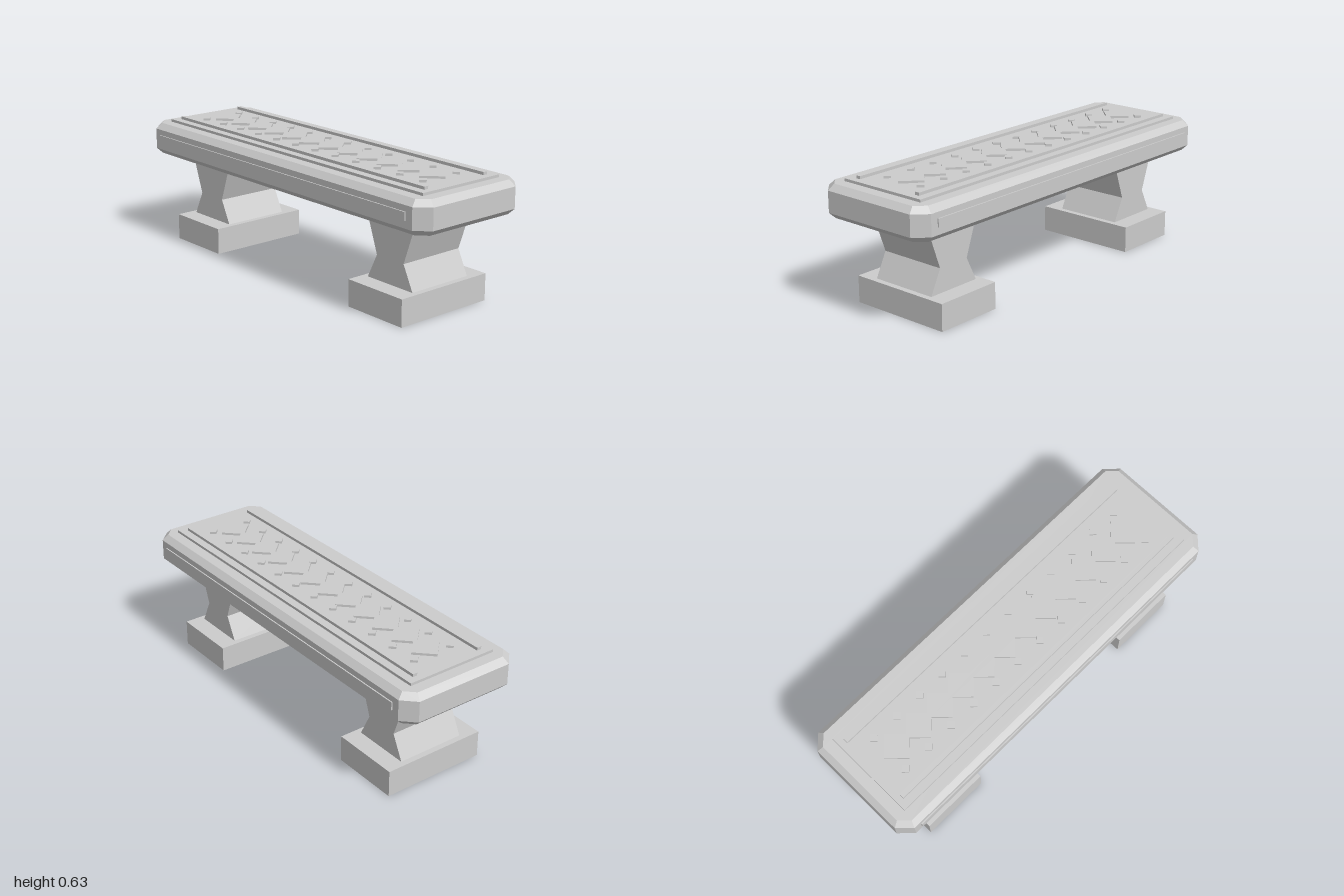
import * as THREE from 'three';

export function createModel() {
  const bench = new THREE.Group();
  bench.name = 'bench';
  const stone = new THREE.MeshStandardMaterial({ color: 0xcccccc });
  stone.name = 'grey stone';

  const add = (name, geometry) => {
    const mesh = new THREE.Mesh(geometry, stone);
    mesh.name = name;
    bench.add(mesh);
    return mesh;
  };
  // Box given by its limits on each axis
  const box = (name, x0, x1, y0, y1, z0, z1) =>
    add(name, new THREE.BoxGeometry(x1 - x0, y1 - y0, z1 - z0))
      .position.set((x0 + x1) / 2, (y0 + y1) / 2, (z0 + z1) / 2);
  const shape = (points) => new THREE.Shape(points.map(([x, y]) => new THREE.Vector2(x, y)));
  // Flat outline in x and z, raised from y0 to y1
  const slab = (name, points, y0, y1, bevel = 0) => {
    const geometry = new THREE.ExtrudeGeometry(shape(points), {
      depth: y1 - y0 - 2 * bevel, bevelEnabled: bevel > 0, bevelThickness: bevel,
      bevelSize: bevel, bevelOffset: -bevel, bevelSegments: 1,
    });
    geometry.rotateX(-Math.PI / 2).translate(0, y0 + bevel, 0);
    return add(name, geometry);
  };

  // Seat with cut corners and chamfered edges
  const X = 1, Z = 0.313, C = 0.062;
  slab('seat', [
    [X, -Z + C], [X, Z - C], [X - C, Z], [-X + C, Z],
    [-X, Z - C], [-X, -Z + C], [-X + C, -Z], [X - C, -Z],
  ], 0.445, 0.603, 0.028);
  box('seatPanel', -0.918, 0.918, 0.6, 0.616, -0.232, 0.232);

  // Chain of overlapping diamonds along the middle
  const count = 12, end = 0.74, half = 0.08, pitch = (2 * end) / (count - 1);
  const upper = [];
  for (let i = 0; i < count; i++) {
    const x = -end + i * pitch;
    upper.push([x, half]);
    if (i < count - 1) upper.push([x + pitch / 2, half - pitch / 2]);
  }
  const lower = upper.map(([x, z]) => [x, -z]).reverse();
  slab('zigzagBand', [[-end - half, 0], ...upper, [end + half, 0], ...lower], 0.612, 0.627);

  for (const side of [-1, 1]) {
    // Rails, small diamonds and edge strips on both long sides
    box('rail', -0.885, 0.885, 0.612, 0.63, side * 0.181 - 0.0115, side * 0.181 + 0.0115);
    box('edgeStrip', -0.9, 0.9, 0.508, 0.547, side * 0.313 - 0.006, side * 0.313 + 0.006);
    for (let i = 0; i < count; i++) {
      const r = 0.023;
      slab('smallDiamond', [[r, 0], [0, r], [-r, 0], [0, -r]], 0.612, 0.627)
        .position.set((i - (count - 1) / 2) * 0.1428, 0, side * 0.102);
    }

    // Waisted leg on a block foot
    const x = side * 0.662;
    const leg = new THREE.ExtrudeGeometry(shape([
      [-0.143, 0.13], [0.143, 0.13], [0.085, 0.247],
      [0.156, 0.447], [-0.156, 0.447], [-0.085, 0.247],
    ]), { depth: 0.342, bevelEnabled: false });
    add('leg', leg.translate(x, 0, -0.171));
    box('foot', x - 0.172, x + 0.172, 0, 0.13, -0.262, 0.262);
  }
  return bench;
}
